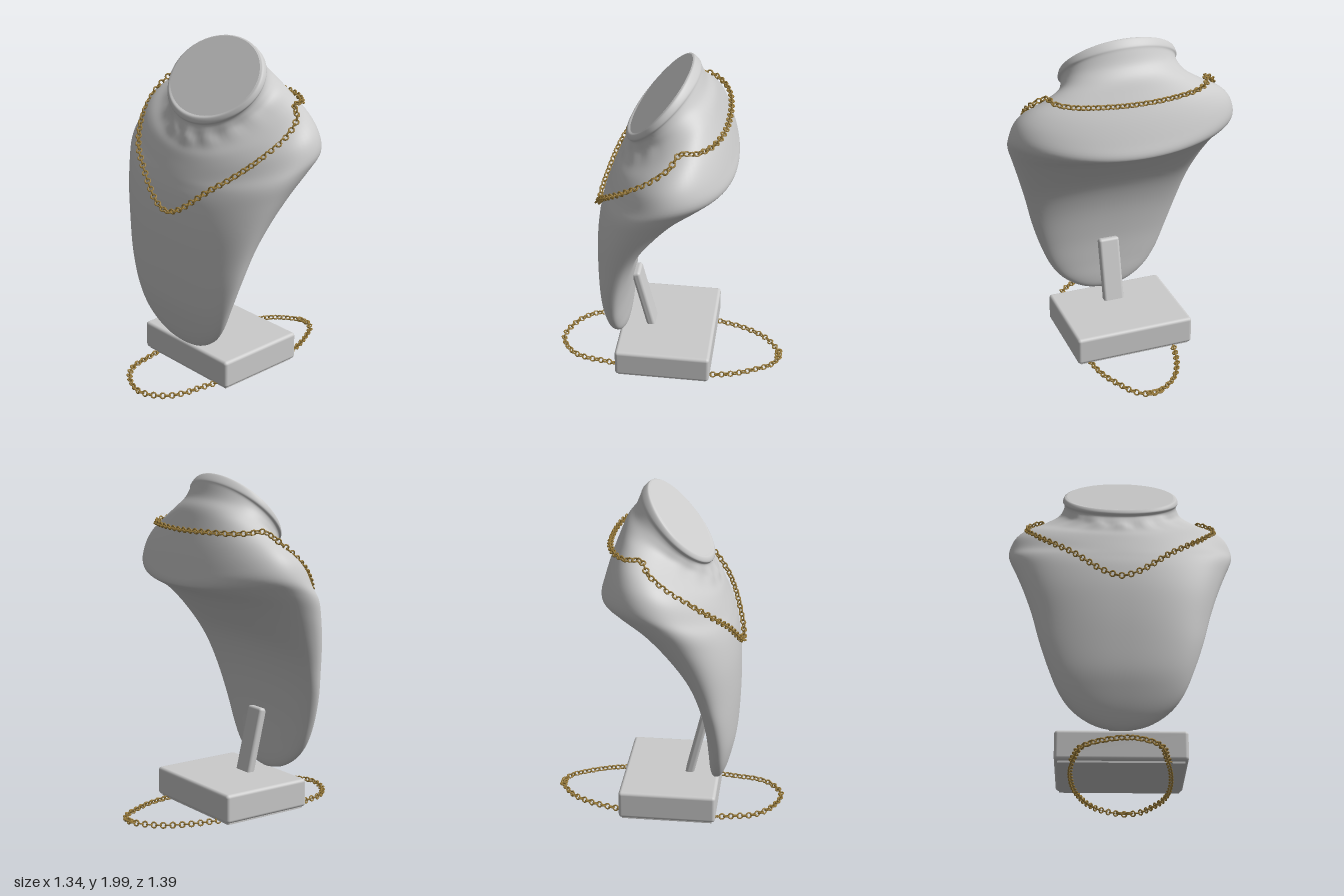
import * as THREE from 'three';
import { mergeGeometries } from 'three/addons/utils/BufferGeometryUtils.js';
import { RoundedBoxGeometry } from 'three/addons/geometries/RoundedBoxGeometry.js';

const grey = new THREE.MeshStandardMaterial({ color: 0xcccccc });
const gold = new THREE.MeshStandardMaterial({ color: 0x9c7d3a });

// Bust sections, neck to tip: front z,y | back z,y | side half-width,z,y
const SECTIONS = [
  [0.225, 1.615, -0.115, 1.995, 0.325, 0.055, 1.805],
  [0.243, 1.605, -0.13, 1.995, 0.342, 0.05, 1.8],
  [0.25, 1.578, -0.16, 1.965, 0.35, 0.04, 1.775],
  [0.236, 1.56, -0.17, 1.94, 0.339, 0.03, 1.76],
  [0.25, 1.52, -0.2, 1.87, 0.345, 0.005, 1.74],
  [0.27, 1.48, -0.245, 1.81, 0.375, -0.03, 1.71],
  [0.285, 1.44, -0.28, 1.73, 0.46, -0.05, 1.67],
  [0.305, 1.4, -0.33, 1.6, 0.57, -0.06, 1.62],
  [0.325, 1.35, -0.37, 1.47, 0.64, -0.06, 1.55],
  [0.348, 1.29, -0.388, 1.395, 0.67, -0.04, 1.45],
  [0.365, 1.24, -0.355, 1.365, 0.655, 0.03, 1.36],
  [0.388, 1.16, -0.21, 1.3, 0.612, 0.1, 1.24],
  [0.408, 1.02, -0.06, 1.18, 0.56, 0.17, 1.09],
  [0.415, 0.85, 0.08, 1.03, 0.508, 0.23, 0.92],
  [0.412, 0.68, 0.165, 0.84, 0.462, 0.275, 0.74],
  [0.402, 0.52, 0.215, 0.61, 0.405, 0.3, 0.56],
  [0.378, 0.4, 0.235, 0.42, 0.343, 0.305, 0.41],
  [0.35, 0.3, 0.243, 0.3, 0.262, 0.297, 0.305],
  [0.318, 0.23, 0.255, 0.23, 0.145, 0.287, 0.232],
  [0.285, 0.2, 0.28, 0.2, 0.004, 0.283, 0.2],
];

function makeMesh(name, geometry, material = grey) {
  const mesh = new THREE.Mesh(geometry, material);
  mesh.name = name;
  return mesh;
}

function surface(positions, index) {
  const g = new THREE.BufferGeometry();
  g.setAttribute('position', new THREE.Float32BufferAttribute(positions, 3));
  g.setIndex(index);
  g.computeVertexNormals();
  return g;
}

// Bust skin lofted through the sections, plus the flat neck face
function makeBust() {
  const rail = (pick) => new THREE.CatmullRomCurve3(
    SECTIONS.map((s) => new THREE.Vector3(...pick(s))), false, 'catmullrom', 0.5);
  const front = rail((s) => [0, s[1], s[0]]);
  const back = rail((s) => [0, s[3], s[2]]);
  const side = rail((s) => [s[4], s[6], s[5]]);
  const rows = (SECTIONS.length - 1) * 5, cols = 80;
  const power = (v, e) => Math.sign(v) * Math.abs(v) ** e;
  const positions = [], index = [];
  for (let i = 0; i <= rows; i++) {
    const t = i / rows;
    const F = front.getPoint(t), B = back.getPoint(t), S = side.getPoint(t);
    const M = F.clone().add(B).multiplyScalar(0.5);
    const e = 1 - 0.14 * THREE.MathUtils.smoothstep(t, 0.45, 0.7);
    const fold = 0.005 * Math.exp(-(((t - 0.25) / 0.05) ** 2));
    for (let j = 0; j < cols; j++) {
      const a = (j / cols) * Math.PI * 2;
      const d = power(Math.sin(a), e), bow = 1 - d * d;
      // soft gathers in the covering below the neck, front only
      const ripple = fold * Math.cos(16 * a) * Math.max(0, d);
      positions.push(
        S.x * power(Math.cos(a), e),
        M.y + (F.y - M.y) * d + (S.y - M.y) * bow + ripple,
        M.z + (F.z - M.z) * d + (S.z - M.z) * bow + ripple);
    }
  }
  for (let i = 0; i < rows; i++) {
    for (let j = 0; j < cols; j++) {
      const k = (j + 1) % cols;
      const p = i * cols + j, q = i * cols + k;
      index.push(p, q, p + cols, q, q + cols, p + cols);
    }
  }
  const group = new THREE.Group();
  group.name = 'bust';
  group.add(makeMesh('bustBody', surface(positions, index)));

  const rim = positions.slice(0, cols * 3), fan = [];
  rim.push(0, 1.805, 0.055);
  for (let j = 0; j < cols; j++) fan.push(cols, (j + 1) % cols, j);
  group.add(makeMesh('neckFace', surface(rim, fan)));
  return group;
}

// Closed chain of round links, alternately turned about the path
function makeChain(name, points, spacing = 0.027) {
  const path = new THREE.CatmullRomCurve3(
    points.map((p) => new THREE.Vector3(...p)), true, 'centripetal');
  const count = Math.round(path.getLength() / spacing / 2) * 2;
  const links = [];
  const up = new THREE.Vector3(0, 1, 0);
  for (let i = 0; i < count; i++) {
    const x = path.getTangentAt(i / count);
    const y = new THREE.Vector3().crossVectors(up, x).normalize();
    const z = new THREE.Vector3().crossVectors(x, y);
    const link = new THREE.TorusGeometry(0.0155, 0.0048, 6, 12);
    link.rotateX(i % 2 ? 0.35 : 0.35 + Math.PI / 2);
    link.applyMatrix4(new THREE.Matrix4().makeBasis(x, y, z)
      .setPosition(path.getPointAt(i / count)));
    links.push(link);
  }
  return makeMesh(name, mergeGeometries(links), gold);
}

export function createModel() {
  const model = new THREE.Group();
  model.name = 'necklaceDisplay';
  model.add(makeBust());

  // Base block with a thin inset foot
  const base = makeMesh('base', new RoundedBoxGeometry(0.73, 0.17, 0.575, 4, 0.02));
  base.position.set(0, 0.12, 0.0125);
  const foot = makeMesh('baseFoot', new THREE.BoxGeometry(0.69, 0.02, 0.535));
  foot.position.set(0, 0.034, 0.0125);

  // Leaning strut behind the bust
  const strut = makeMesh('strut', new RoundedBoxGeometry(0.13, 0.42, 0.052, 4, 0.018));
  strut.position.set(0, 0.38, 0.162);
  strut.rotation.x = 0.235;
  model.add(base, foot, strut);

  // Necklace: one half, front to back, mirrored
  const half = [
    [0.1, 1.115, 0.417], [0.18, 1.175, 0.395], [0.28, 1.26, 0.358], [0.39, 1.345, 0.3],
    [0.505, 1.465, 0.175], [0.56, 1.575, 0.035], [0.545, 1.655, -0.06], [0.475, 1.705, -0.11],
    [0.45, 1.7, -0.19], [0.37, 1.695, -0.26], [0.26, 1.695, -0.305], [0.12, 1.692, -0.328],
  ];
  const mirrored = half.map(([x, y, z]) => [-x, y, z]).reverse();
  model.add(makeChain('necklace',
    [[0, 1.08, 0.425], ...half, [0, 1.69, -0.332], ...mirrored]));

  // Loose chain lying around the base
  const loop = [
    [0.04, -0.68], [0.13, -0.645], [0.2, -0.535], [0.26, -0.39], [0.287, -0.2], [0.288, 0],
    [0.27, 0.2], [0.235, 0.4], [0.22, 0.5], [0.17, 0.6], [0.04, 0.675], [-0.125, 0.62],
    [-0.22, 0.52], [-0.25, 0.4], [-0.28, 0.2], [-0.28, 0], [-0.26, -0.2], [-0.215, -0.39],
    [-0.18, -0.48], [-0.11, -0.59],
  ];
  model.add(makeChain('looseChain', loop.map(([x, z]) => [x, 0.026, z])));

  // Clasp where the loose chain closes
  const clasp = new THREE.Group();
  clasp.name = 'clasp';
  for (const x of [0.01, 0.04, 0.07]) {
    const ring = makeMesh('claspRing', new THREE.TorusGeometry(0.019, 0.005, 6, 14), gold);
    ring.rotation.x = Math.PI / 2;
    ring.position.set(x, 0.03, -0.676);
    clasp.add(ring);
  }
  model.add(clasp);
  return model;
}
